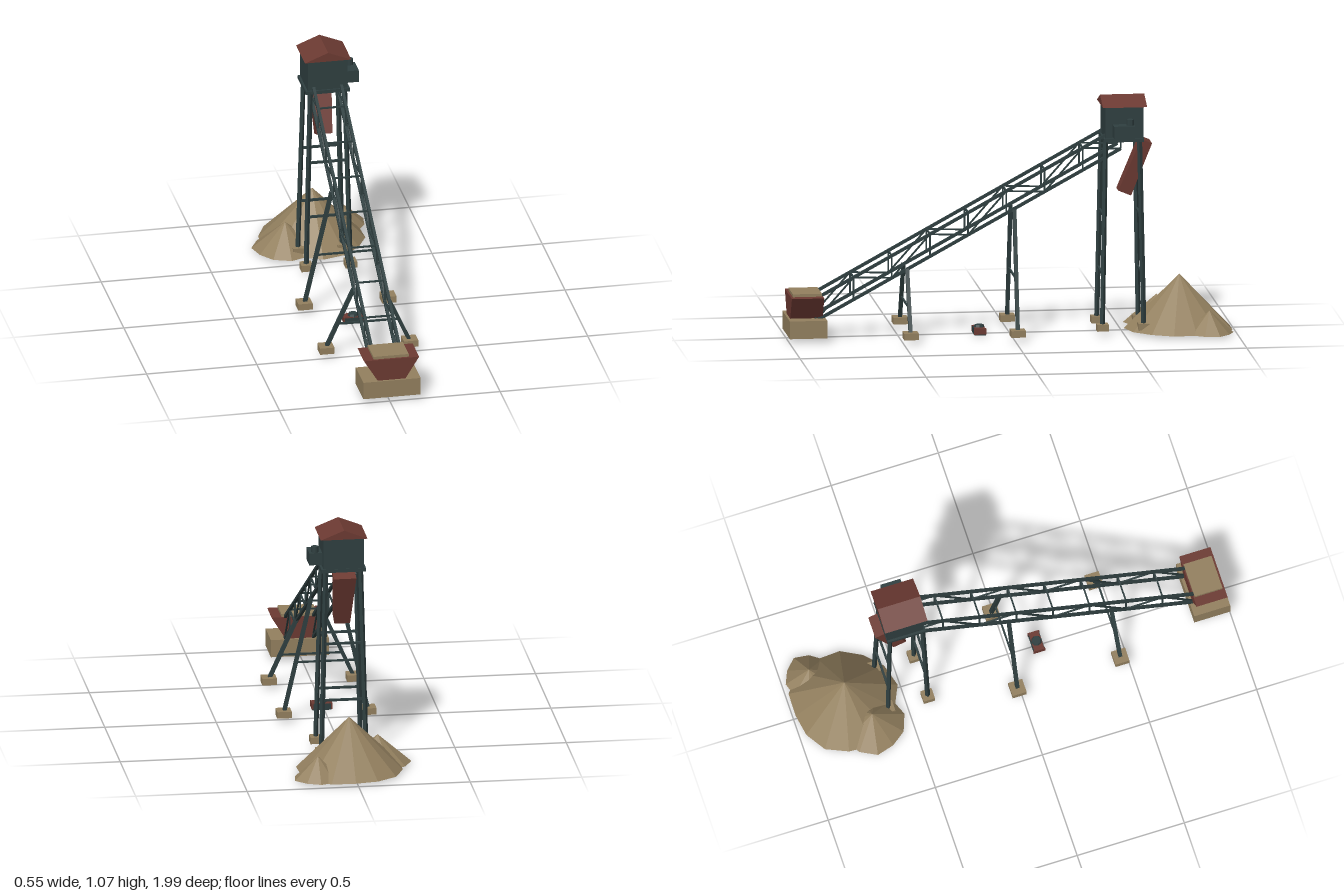
import * as THREE from 'three';

const CX = 0.01; // centre line of the structure
const V = (x, y, z) => new THREE.Vector3(x, y, z);
const material = (name, color) => {
  const m = new THREE.MeshStandardMaterial({ color, flatShading: true });
  m.name = name;
  return m;
};

export function createModel() {
  const steel = material('dark steel', 0x2f3f40);
  const red = material('rust red', 0x6c3a32);
  const sand = material('sand', 0x93805f);
  const root = new THREE.Group();
  root.name = 'gravelConveyor';

  const group = (name) => {
    const g = new THREE.Group();
    g.name = name;
    root.add(g);
    return g;
  };
  const add = (parent, name, geometry, mat) => {
    const m = new THREE.Mesh(geometry, mat);
    m.name = name;
    parent.add(m);
    return m;
  };
  // Box given by its limits on each axis
  const box = (parent, name, mat, [x0, x1], [y0, y1], [z0, z1]) => {
    const m = add(parent, name, new THREE.BoxGeometry(x1 - x0, y1 - y0, z1 - z0), mat);
    m.position.set((x0 + x1) / 2, (y0 + y1) / 2, (z0 + z1) / 2);
    return m;
  };
  // Square bar between two points
  const beam = (parent, name, a, b, t) => {
    const m = add(parent, name, new THREE.BoxGeometry(t, t, a.distanceTo(b)), steel);
    m.position.copy(a).add(b).multiplyScalar(0.5);
    m.lookAt(b);
    return m;
  };
  // Outline in x and y, extruded between two z values
  const prism = (parent, name, mat, points, z0, z1) => {
    const shape = new THREE.Shape(points.map(([x, y]) => new THREE.Vector2(x, y)));
    const m = add(parent, name, new THREE.ExtrudeGeometry(shape, { depth: z1 - z0, bevelEnabled: false }), mat);
    m.position.set(CX, 0, z0);
    return m;
  };
  const foot = (parent, x, z, s) =>
    box(parent, 'footing', sand, [x - s / 2, x + s / 2], [0.02, 0.05], [z - s / 2, z + s / 2]);

  // Feed hopper on its plinth
  const hopper = group('feedHopper');
  box(hopper, 'plinth', sand, [CX - 0.13, CX + 0.13], [0.02, 0.1], [0.832, 1]);
  prism(hopper, 'hopperBin', red, [[-0.063, 0.1], [0.063, 0.1], [0.125, 0.2], [-0.125, 0.2]], 0.845, 0.99);
  box(hopper, 'hopperLoad', sand, [CX - 0.08, CX + 0.08], [0.19, 0.213], [0.85, 0.98]);

  // Inclined truss: chords, posts, zigzag braces and cross rungs
  const truss = group('conveyorTruss');
  const bays = 8;
  const node = (side, i, upper) => {
    const t = i / bays;
    return V(CX + side * 0.063, 0.087 + t * 0.747 + (upper ? 0.1 : 0), 0.877 - t * 1.367);
  };
  for (const s of [-1, 1]) {
    beam(truss, 'lowerChord', node(s, 0, false), node(s, bays, false), 0.013);
    beam(truss, 'upperChord', node(s, 0, true), node(s, bays, true), 0.013);
    for (let i = 0; i <= bays; i++) {
      beam(truss, 'post', node(s, i, false), node(s, i, true), 0.007);
      if (i < bays) beam(truss, 'brace', node(s, i, i % 2 === 1), node(s, i + 1, i % 2 === 0), 0.007);
    }
  }
  for (let i = 0; i <= bays; i++) beam(truss, 'rung', node(-1, i, true), node(1, i, true), 0.007);

  // Two splayed trestles carrying the truss
  for (const [z, top, barY] of [[0.467, 0.312, 0.15], [-0.013, 0.57, 0.27]]) {
    const trestle = group('trestle');
    for (const s of [-1, 1]) {
      beam(trestle, 'trestleLeg', V(CX + s * 0.187, 0.045, z), V(CX + s * 0.066, top, z), 0.017);
      foot(trestle, CX + s * 0.19, z, 0.065);
    }
    const half = 0.187 - 0.121 * (barY - 0.045) / (top - 0.045);
    beam(trestle, 'trestleTie', V(CX - half, barY, z), V(CX + half, barY, z), 0.008);
  }

  // Tower under the head house
  const tower = group('headTower');
  for (const [zBottom, zTop] of [[-0.403, -0.42], [-0.588, -0.572]]) {
    const leg = (s, t) => V(CX + s * (0.1 - 0.022 * t), 0.045 + 0.83 * t, zBottom + (zTop - zBottom) * t);
    for (const s of [-1, 1]) {
      beam(tower, 'towerLeg', leg(s, 0), leg(s, 1), 0.016);
      foot(tower, CX + s * 0.1, zBottom, 0.052);
    }
    for (const t of [0.275, 0.59]) beam(tower, 'towerTie', leg(-1, t), leg(1, t), 0.01);
  }
  box(tower, 'platform', steel, [CX - 0.1, CX + 0.1], [0.869, 0.885], [-0.59, -0.41]);

  // Head house with gable roof and side motor
  const house = group('headHouse');
  box(house, 'houseWalls', steel, [CX - 0.09, CX + 0.09], [0.885, 1.028], [-0.588, -0.418]);
  prism(house, 'gableRoof', red, [[-0.105, 1.026], [0.105, 1.026], [0, 1.068]], -0.603, -0.405);
  box(house, 'motorBox', steel, [CX + 0.09, CX + 0.148], [0.893, 0.949], [-0.543, -0.45]);
  add(house, 'exhaustStack', new THREE.CylinderGeometry(0.016, 0.016, 0.03, 10), steel)
    .position.set(0.131, 0.961, -0.525);

  // Discharge chute, tapering downwards
  const chuteGeo = new THREE.BoxGeometry(1, 0.254, 1);
  const cp = chuteGeo.attributes.position;
  for (let i = 0; i < cp.count; i++) {
    const high = cp.getY(i) > 0;
    cp.setX(i, cp.getX(i) * (high ? 0.102 : 0.07));
    cp.setZ(i, cp.getZ(i) * (high ? 0.052 : 0.062));
  }
  const chute = add(root, 'dischargeChute', chuteGeo, red);
  chute.position.set(CX, 0.744, -0.559);
  chute.rotation.x = -0.39;

  // Small drive unit on the ground
  const drive = group('driveUnit');
  box(drive, 'driveBody', steel, [CX - 0.043, CX + 0.043], [0, 0.028], [0.112, 0.162]);
  for (const s of [-1, 1])
    box(drive, 'driveEnd', red, [CX + s * 0.043 - 0.003, CX + s * 0.043 + 0.003], [0.004, 0.032], [0.11, 0.164]);
  box(drive, 'driveCover', red, [CX - 0.043, CX + 0.043], [0.028, 0.032], [0.114, 0.16]);
  add(drive, 'driveCap', new THREE.CylinderGeometry(0.02, 0.025, 0.012, 8), steel)
    .position.set(CX, 0.036, 0.137);

  // Gravel heaps with uneven rims
  const piles = group('gravelPile');
  const heap = (name, x, z, r, h, sides, phase) => {
    const geo = new THREE.ConeGeometry(r, h, sides, 1);
    const p = geo.attributes.position;
    for (let i = 0; i < p.count; i++) {
      const a = Math.atan2(p.getX(i), p.getZ(i));
      const k = 1 + 0.035 * Math.sin(3 * a + phase) + 0.03 * Math.sin(5 * a + phase * 2);
      p.setX(i, p.getX(i) * k);
      p.setZ(i, p.getZ(i) * k);
    }
    add(piles, name, geo, sand).position.set(x, 0.01 + h / 2, z);
  };
  heap('mainHeap', CX, -0.76, 0.238, 0.24, 14, 0.6);
  heap('sideHeap', -0.13, -0.675, 0.145, 0.125, 11, 1.5);
  heap('rearHeap', 0.165, -0.875, 0.107, 0.1, 10, 2.6);

  return root;
}
